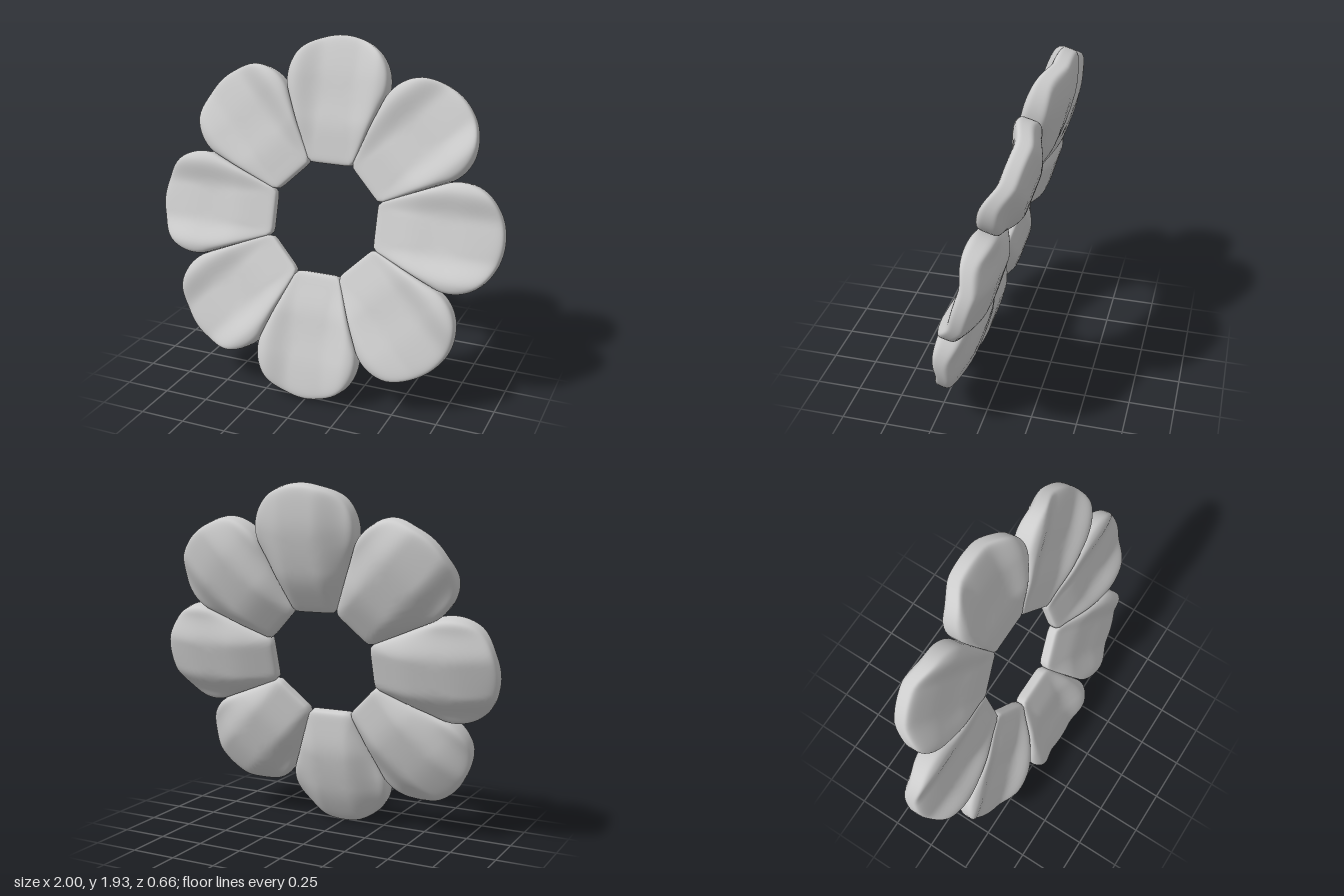
import * as THREE from 'three';
import { mergeVertices } from 'three/addons/utils/BufferGeometryUtils.js';

const PETALS = 8;
const TILT = 0.288;
const smooth = THREE.MathUtils.smoothstep;

// Petal outline: flat inner end, straight flanks, round tip (y is the radius).
function petalOutline() {
  const half = new THREE.Shape();
  half.moveTo(0, 0.3);
  half.lineTo(0.1, 0.3);
  half.quadraticCurveTo(0.128, 0.3, 0.14, 0.335);
  half.lineTo(0.28, 0.68);
  half.bezierCurveTo(0.305, 0.75, 0.29, 0.84, 0.24, 0.9);
  half.bezierCurveTo(0.19, 0.96, 0.09, 1, 0, 1);
  const right = half.getSpacedPoints(36);
  const left = right.slice(1, -1).reverse().map((p) => new THREE.Vector2(-p.x, p.y));
  return [...right, ...left];
}

// Mid surface: shallow trough along the petal, with both flanks raised forward.
function midSurface(x, r) {
  const belly = Math.sin(Math.PI * THREE.MathUtils.clamp((r - 0.3) / 0.7, 0, 1));
  return -0.012 - 0.024 * belly + 0.05 * smooth(Math.abs(x), 0.09, 0.25);
}

// Half thickness: thin at the inner end, full in the middle, thinner at the tip.
function halfThickness(r) {
  return 0.046 + 0.034 * smooth(r, 0.3, 0.55) - 0.02 * smooth(r, 0.75, 1);
}

// Pillow made of scaled outlines, front centre to rim to back centre.
function petalGeometry() {
  const outline = petalOutline();
  const n = outline.length;
  const steps = 18;
  const centre = 0.66;
  const positions = [];
  const index = [];
  for (let i = 0; i <= 2 * steps; i++) {
    const side = i <= steps ? 1 : -1;
    const t = 1 - Math.abs(i - steps) / steps;
    const s = 1 - (1 - t) ** 3;
    const round = Math.max(0, 1 - s ** 5) ** 0.2;
    for (let j = 0; j < n; j++) {
      const x = outline[j].x * s;
      const r = centre + (outline[j].y - centre) * s;
      positions.push(x, r, midSurface(x, r) + side * halfThickness(r) * round);
      if (i === 2 * steps) continue;
      const a = i * n + j;
      const d = i * n + ((j + 1) % n);
      index.push(a, a + n, d + n, a, d + n, d);
    }
  }
  const geometry = new THREE.BufferGeometry();
  geometry.setAttribute('position', new THREE.Float32BufferAttribute(positions, 3));
  geometry.setIndex(index);
  const merged = mergeVertices(geometry, 1e-5);
  merged.computeVertexNormals();
  return merged;
}

export function createModel() {
  const model = new THREE.Group();
  model.name = 'flowerRing';
  const material = new THREE.MeshStandardMaterial({ color: 0xcccccc });
  const geometry = petalGeometry();

  // Ring of petals leaning back from the vertical
  const ring = new THREE.Group();
  ring.name = 'petalRing';
  ring.position.y = 0.963;
  ring.rotation.x = -TILT;
  for (let i = 0; i < PETALS; i++) {
    const petal = new THREE.Mesh(geometry, material);
    petal.name = `petal${i + 1}`;
    petal.rotation.z = (i / PETALS) * Math.PI * 2;
    ring.add(petal);
  }
  model.add(ring);
  return model;
}
